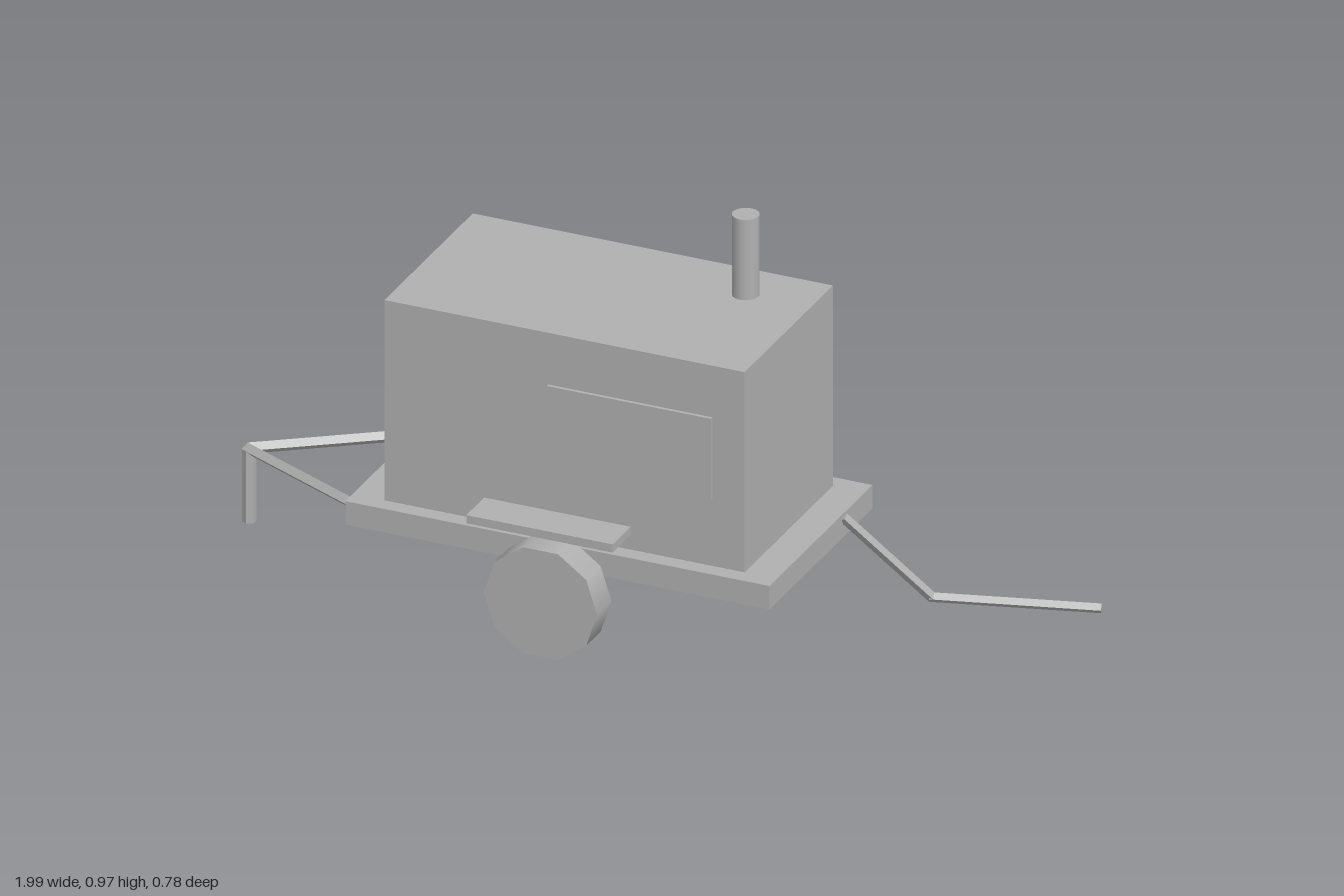
import * as THREE from 'three';
import { toCreasedNormals } from 'three/addons/utils/BufferGeometryUtils.js';

export function createModel() {
  const model = new THREE.Group();
  model.name = 'towedGenerator';
  const grey = new THREE.MeshStandardMaterial({ color: 0xb0b0b0 });
  grey.name = 'plain grey';

  function add(name, geometry, x = 0, y = 0, z = 0) {
    const mesh = new THREE.Mesh(geometry, grey);
    mesh.name = name;
    mesh.position.set(x, y, z);
    model.add(mesh);
    return mesh;
  }

  // Box given by its lowest and highest corners
  function box(name, [x0, y0, z0], [x1, y1, z1]) {
    return add(name, new THREE.BoxGeometry(x1 - x0, y1 - y0, z1 - z0),
      (x0 + x1) / 2, (y0 + y1) / 2, (z0 + z1) / 2);
  }

  // Straight bar between two points, with its edges facing up, down and sideways
  function bar(name, from, to, radius, sides = 4) {
    const a = new THREE.Vector3(...from), b = new THREE.Vector3(...to);
    const geometry = new THREE.CylinderGeometry(radius, radius, a.distanceTo(b), sides);
    geometry.rotateX(Math.PI / 2);
    const mesh = add(name, toCreasedNormals(geometry, 0.7));
    mesh.position.copy(a).lerp(b, 0.5);
    mesh.lookAt(b);
  }

  // Deck and housing
  box('deck', [-0.61, 0.2, -0.287], [0.457, 0.26, 0.287]);
  box('housing', [-0.53, 0.26, -0.246], [0.376, 0.772, 0.246]);
  box('sidePanel', [-0.118, 0.433, 0.246], [0.295, 0.64, 0.2545]);
  box('endPanel', [-0.537, 0.433, -0.143], [-0.53, 0.64, 0.143]);

  // Round fittings on the end panel
  const knob = (r, depth) => new THREE.CylinderGeometry(r, r, depth, 12).rotateZ(Math.PI / 2);
  add('endPanelKnob', knob(0.014, 0.014), -0.543, 0.478, -0.082);
  add('endPanelLatch', knob(0.012, 0.014), -0.538, 0.67, 0.08);

  // Exhaust pipe
  add('exhaustPipe', new THREE.CylinderGeometry(0.032, 0.032, 0.206, 24), 0.212, 0.874, -0.123);

  // Wheels and mudguards, one pair on each side
  for (const side of [1, -1]) {
    const wheel = new THREE.CylinderGeometry(0.1425, 0.1425, 0.08, 10);
    wheel.rotateY(Math.PI / 2).rotateX(Math.PI / 2);
    add('wheel', wheel, -0.078, 0.147, side * 0.338);
    const z = side * 0.338;
    box('mudguard', [-0.26, 0.32, z - 0.05], [0.108, 0.341, z + 0.05]);

    // Drawbar arm
    bar('drawbarArm', [-0.985, 0.19, 0], [-0.609, 0.211, side * 0.211], 0.0145);
  }

  // Support leg under the hitch
  add('supportLeg', toCreasedNormals(new THREE.CylinderGeometry(0.017, 0.017, 0.185, 6), 0.7),
    -0.981, 0.0975, 0);

  // Bent rear bar trailing down to the ground
  bar('rearBarUpper', [0.457, 0.252, -0.123], [0.625, 0.022, -0.25], 0.0125);
  bar('rearBarLower', [0.618, 0.024, -0.248], [0.994, 0.015, -0.373], 0.0125);

  return model;
}
